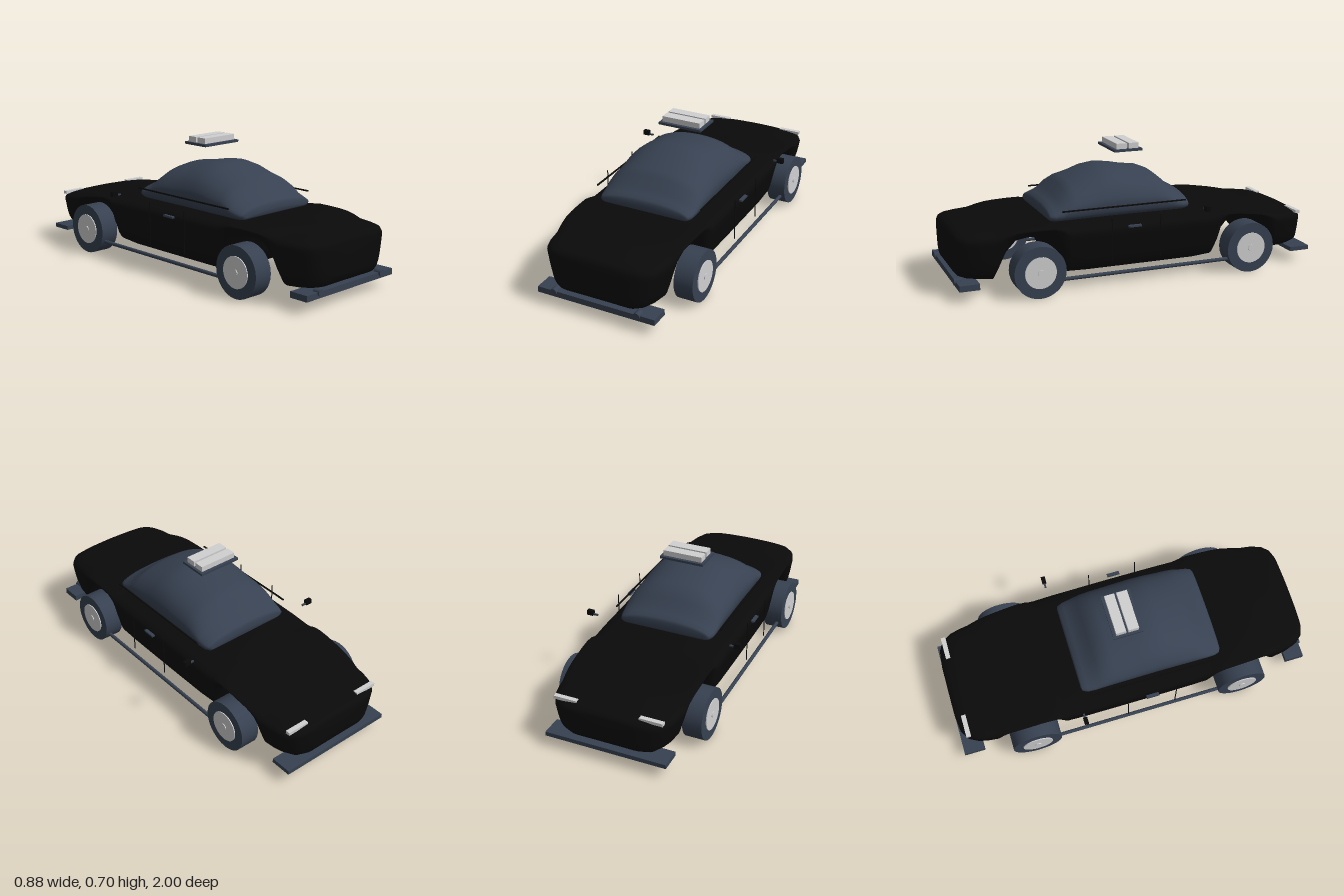
import * as THREE from 'three';

const mat = (name, color, side = THREE.FrontSide) => {
  const m = new THREE.MeshStandardMaterial({ color, side });
  m.name = name;
  return m;
};

// Skins a mirrored half profile over stations [z, halfWidth, top, bottom], rear to front.
function loft(profile, stations, steps = 24) {
  const half = new THREE.SplineCurve(profile.map(p => new THREE.Vector2(...p))).getPoints(steps);
  const ring = [
    ...half.map(p => [-Math.max(p.x, 0), p.y]),
    ...half.slice(1, -1).reverse().map(p => [p.x, p.y]),
  ];
  const n = ring.length, pos = [], idx = [];
  for (const [z, w, top, bottom] of stations)
    for (const [x, t] of ring) pos.push(x * w, bottom + (top - bottom) * t, z);
  for (let i = 0; i < stations.length - 1; i++)
    for (let j = 0; j < n; j++) {
      const k = (j + 1) % n, a = i * n + j, b = i * n + k;
      idx.push(a, b, a + n, b, b + n, a + n);
    }
  // End caps
  [0, stations.length - 1].forEach((s, end) => {
    const [z, , top, bottom] = stations[s], c = pos.length / 3;
    pos.push(0, (top + bottom) / 2, z);
    for (let j = 0; j < n; j++) {
      const a = s * n + j, b = s * n + (j + 1) % n;
      if (end) idx.push(c, a, b); else idx.push(c, b, a);
    }
  });
  const g = new THREE.BufferGeometry();
  g.setAttribute('position', new THREE.Float32BufferAttribute(pos, 3));
  g.setIndex(idx);
  g.computeVertexNormals();
  return g;
}

export function createModel() {
  const car = new THREE.Group();
  car.name = 'car';
  const black = mat('blackPaint', 0x0a0a0a);
  const slate = mat('slate', 0x374151);
  const pale = mat('paleGrey', 0xd0d0d2);

  const add = (name, geometry, material, x = 0, y = 0, z = 0) => {
    const m = new THREE.Mesh(geometry, material);
    m.name = name;
    m.position.set(x, y, z);
    car.add(m);
    return m;
  };
  // Box given by its limits on each axis
  const box = (name, material, [x0, x1], [y0, y1], [z0, z1]) =>
    add(name, new THREE.BoxGeometry(Math.abs(x1 - x0), y1 - y0, z1 - z0), material,
      (x0 + x1) / 2, (y0 + y1) / 2, (z0 + z1) / 2);

  // Body shell with open wheel arches
  const bodyProfile = [[0, 1], [0.5, 0.985], [0.82, 0.95], [0.95, 0.9], [1, 0.81], [0.985, 0.65],
    [0.95, 0.4], [0.9, 0.18], [0.81, 0.05], [0.68, 0], [0.35, 0], [0, 0]];
  add('body', loft(bodyProfile, [
    [-0.99, 0.16, 0.25, 0.13], [-0.98, 0.24, 0.268, 0.105], [-0.95, 0.29, 0.281, 0.09],
    [-0.9, 0.318, 0.29, 0.085], [-0.85, 0.33, 0.295, 0.08], [-0.795, 0.337, 0.299, 0.08],
    [-0.775, 0.34, 0.3, 0.12], [-0.74, 0.342, 0.302, 0.205], [-0.69, 0.345, 0.307, 0.262],
    [-0.63, 0.348, 0.315, 0.28], [-0.55, 0.35, 0.328, 0.29], [-0.49, 0.352, 0.335, 0.28],
    [-0.45, 0.353, 0.34, 0.22], [-0.43, 0.354, 0.342, 0.14], [-0.405, 0.355, 0.344, 0.085],
    [-0.3, 0.357, 0.35, 0.077], [-0.1, 0.358, 0.352, 0.077], [0.1, 0.358, 0.355, 0.077],
    [0.3, 0.357, 0.356, 0.077], [0.405, 0.355, 0.356, 0.08], [0.43, 0.354, 0.356, 0.14],
    [0.45, 0.353, 0.355, 0.215], [0.49, 0.352, 0.355, 0.28], [0.55, 0.35, 0.354, 0.293],
    [0.63, 0.347, 0.352, 0.293], [0.69, 0.342, 0.35, 0.28], [0.74, 0.337, 0.349, 0.215],
    [0.775, 0.333, 0.348, 0.13], [0.8, 0.33, 0.347, 0.08], [0.87, 0.32, 0.344, 0.085],
    [0.93, 0.3, 0.34, 0.093], [0.965, 0.268, 0.334, 0.102], [0.982, 0.225, 0.322, 0.12],
    [0.99, 0.16, 0.3, 0.15],
  ]), black);

  // Glazed cabin
  const cabinProfile = [[0, 1], [0.3, 0.975], [0.6, 0.87], [0.83, 0.69], [0.96, 0.48],
    [1, 0.32], [0.99, 0.16], [0.95, 0.05], [0.85, 0], [0.4, 0], [0, 0]];
  add('cabin', loft(cabinProfile, [
    [-0.294, 0.235, 0.41, 0.362], [-0.288, 0.255, 0.428, 0.355], [-0.26, 0.266, 0.44, 0.35],
    [-0.22, 0.27, 0.465, 0.35], [-0.19, 0.271, 0.497, 0.35], [-0.15, 0.272, 0.53, 0.35],
    [-0.1, 0.272, 0.55, 0.35], [-0.03, 0.272, 0.558, 0.35], [0.05, 0.272, 0.575, 0.35],
    [0.13, 0.272, 0.585, 0.35], [0.2, 0.272, 0.574, 0.35], [0.27, 0.272, 0.547, 0.35],
    [0.34, 0.272, 0.527, 0.35], [0.38, 0.271, 0.502, 0.35], [0.42, 0.269, 0.455, 0.35],
    [0.46, 0.265, 0.432, 0.35], [0.484, 0.255, 0.42, 0.353], [0.492, 0.235, 0.405, 0.362],
  ]), slate);

  // Wheels: tyre, hub running right through, and centre cap
  for (const z of [0.59, -0.595]) for (const s of [-1, 1]) {
    const disc = (name, r, length, material, x) => {
      add(name, new THREE.CylinderGeometry(r, r, length, 32), material, s * x, 0.137, z)
        .rotation.z = Math.PI / 2;
    };
    disc('tyre', 0.137, 0.105, slate, 0.348);
    disc('hub', 0.083, 0.115, pale, 0.348);
    disc('hubCap', 0.017, 0.12, pale, 0.35);
  }

  // Bumpers
  box('frontBumper', slate, [-0.33, 0.33], [0.062, 0.094], [0.885, 0.99]);
  box('rearBumper', slate, [-0.33, 0.33], [0.062, 0.085], [-1, -0.885]);

  // Side fittings, mirrored
  for (const s of [-1, 1]) {
    const side = (a, b) => [s * a, s * b];
    add('fogLamp', new THREE.CylinderGeometry(0.018, 0.018, 0.04, 20), slate, s * 0.235, 0.09, 0.978)
      .rotation.x = Math.PI / 2;
    box('headlight', pale, side(0.195, 0.255), [0.274, 0.297], [0.935, 0.957]);
    box('tailLight', pale, side(0.17, 0.295), [0.268, 0.285], [-0.955, -0.93]);
    add('sill', new THREE.CylinderGeometry(0.01, 0.01, 0.98, 12), slate, s * 0.372, 0.08, 0)
      .rotation.x = Math.PI / 2;
    for (const z of [-0.07, 0.2])
      box('doorSeam', black, side(0.382, 0.386), [0.145, 0.375], [z - 0.002, z + 0.002]);
    box('doorHandle', slate, side(0.364, 0.382), [0.317, 0.327], [0.035, 0.105]);
    box('windowTrim', black, side(0.299, 0.306), [0.41, 0.417], [-0.25, 0.44]);
    box('mirrorStalk', slate, side(0.38, 0.41), [0.375, 0.383], [-0.324, -0.314]);
    box('mirror', black, side(0.405, 0.44), [0.373, 0.4], [-0.33, -0.308]);
  }

  // Roof light bar
  box('lightBarBase', slate, [-0.124, 0.124], [0.659, 0.672], [-0.073, 0.086]);
  box('rearLightBar', pale, [-0.11, 0.11], [0.672, 0.702], [-0.056, -0.002]);
  box('frontLightBar', pale, [-0.11, 0.11], [0.672, 0.702], [0.01, 0.068]);
  return car;
}
